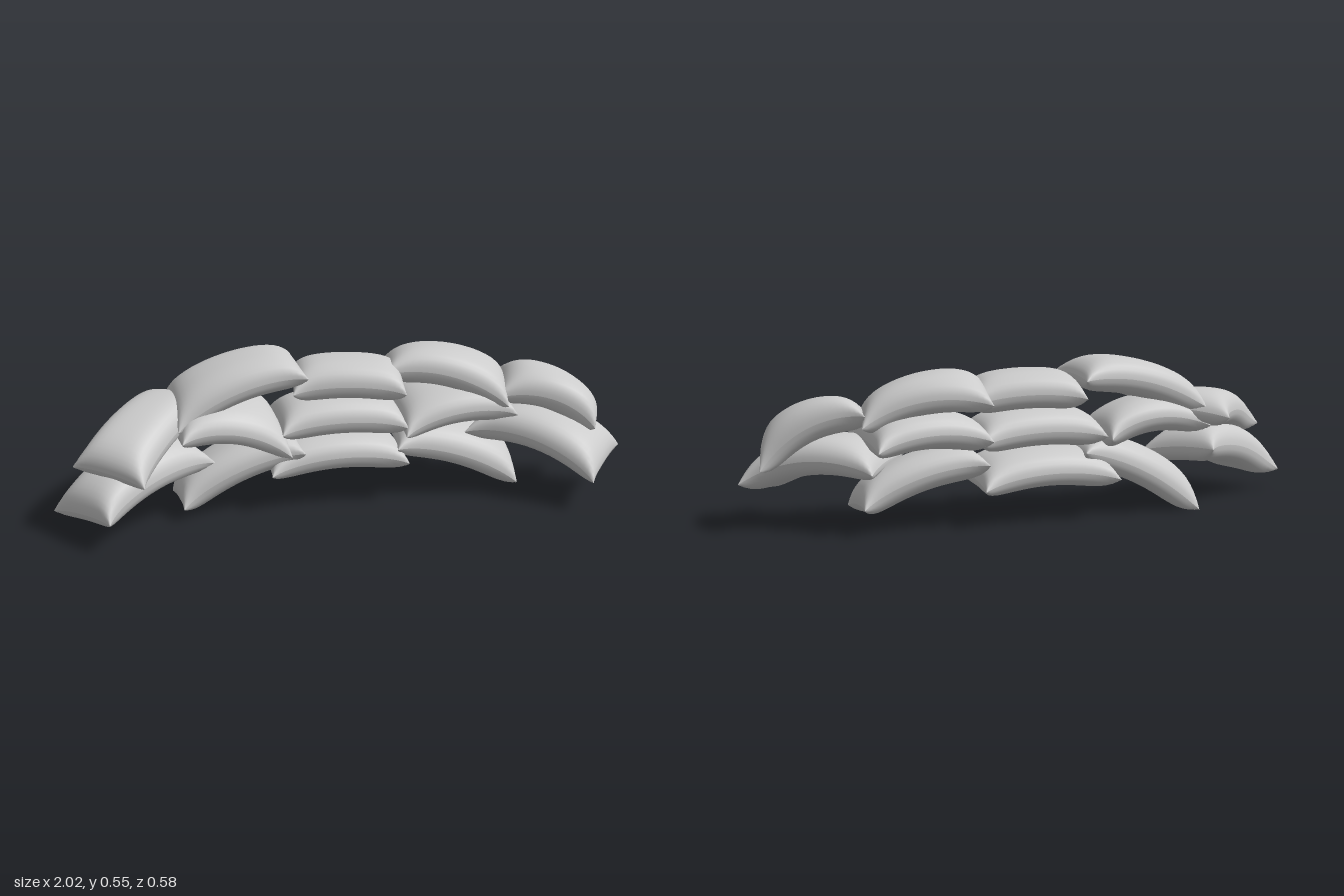
import * as THREE from 'three';

const NU = 24, NV = 18;
const UP = new THREE.Vector3(0, 1, 0);

// One stuffed sack: a = end at -x, b = end at +x, w = half width at the corners,
// ra / rb = rise of the front corner at each end, arch = lift of the middle.
function bag(name, a, b, w, ra, rb, arch, thick = 0.064) {
  const A = new THREE.Vector3(...a), B = new THREE.Vector3(...b);
  const mid = A.clone().add(B).multiplyScalar(0.5);
  const half = B.clone().sub(A).multiplyScalar(0.5);
  const side = new THREE.Vector3().crossVectors(half, UP).normalize();
  const up = new THREE.Vector3().crossVectors(side, half).normalize();
  const positions = [], index = [];

  // Upper and lower skins meet in a pinched seam with pulled-out corners
  for (const s of [1, -1]) {
    const start = positions.length / 3;
    for (let i = 0; i <= NU; i++) {
      for (let j = 0; j <= NV; j++) {
        const u = Math.sin((i / NU - 0.5) * Math.PI);
        const v = Math.sin((j / NV - 0.5) * Math.PI);
        const lu = u * (1 - 0.03 * (1 - v ** 4));
        const lv = v * w * (1 - 0.14 * (1 - u ** 6));
        const fill = Math.pow(Math.max(0, 1 - u ** 6), 0.5) * Math.pow(Math.max(0, 1 - v ** 4), 0.5);
        const lift = arch * (1 - u * u) + 0.012 * (1 - v * v) + s * thick * fill;
        const p = mid.clone()
          .addScaledVector(half, lu)
          .addScaledVector(side, lv)
          .addScaledVector(up, lift);
        p.y += v * THREE.MathUtils.lerp(ra, rb, (u + 1) / 2);
        positions.push(p.x, p.y, p.z);
      }
    }
    for (let i = 0; i < NU; i++) {
      for (let j = 0; j < NV; j++) {
        const p = start + i * (NV + 1) + j, q = p + NV + 1;
        if (s > 0) index.push(p, p + 1, q, q, p + 1, q + 1);
        else index.push(p, q, p + 1, q, q + 1, p + 1);
      }
    }
  }
  const geometry = new THREE.BufferGeometry();
  geometry.setAttribute('position', new THREE.Float32BufferAttribute(positions, 3));
  geometry.setIndex(index);
  geometry.computeVertexNormals();
  const mesh = new THREE.Mesh(geometry, new THREE.MeshStandardMaterial({ color: 0xcccccc }));
  mesh.name = name;
  return mesh;
}

export function createModel() {
  const wall = new THREE.Group();
  wall.name = 'sandbagWall';
  wall.add(
    // Bottom course
    bag('bottomBagRight', [-0.57, 0.022, -0.07], [-0.14, 0.22, -0.08], 0.14, 0.02, -0.01, 0.035),
    bag('bottomBagCentre', [-0.26, 0.137, -0.09], [0.23, 0.137, -0.095], 0.16, 0, 0.01, 0.037),
    bag('bottomBagLeft', [0.2, 0.205, -0.1], [0.63, 0.067, -0.075], 0.148, -0.01, -0.02, 0.035),
    // Outer bags, swung forward
    bag('outerBagRight', [-0.925, 0.085, 0.168], [-0.53, 0.2, -0.11], 0.147, 0.015, -0.015, 0.045, 0.07),
    bag('outerBagLeft', [0.53, 0.215, -0.12], [0.92, 0.13, 0.16], 0.147, 0.01, -0.02, 0.06),
    // Middle course
    bag('middleBagRight', [-0.59, 0.3, -0.05], [-0.205, 0.243, -0.09], 0.172, 0, -0.035, 0.05),
    bag('middleBagCentre', [-0.22, 0.285, -0.08], [0.225, 0.28, -0.08], 0.148, 0, 0, 0.027),
    bag('middleBagLeft', [0.205, 0.275, -0.08], [0.61, 0.292, -0.1], 0.17, -0.02, 0.01, 0.038),
    // Top course
    bag('topBagFarRight', [-0.83, 0.225, 0.175], [-0.535, 0.345, -0.2], 0.142, -0.015, 0.01, 0.038),
    bag('topBagRight', [-0.585, 0.345, -0.075], [-0.13, 0.48, -0.095], 0.145, -0.02, 0, 0.042),
    bag('topBagCentre', [-0.16, 0.42, -0.1], [0.23, 0.41, -0.05], 0.138, 0, 0, 0.022),
    bag('topBagLeft', [0.18, 0.437, -0.145], [0.61, 0.345, -0.06], 0.135, 0.015, -0.01, 0.05),
    bag('topBagFarLeft', [0.585, 0.375, -0.075], [0.915, 0.235, 0.04], 0.117, -0.02, 0.025, 0.053),
  );
  return wall;
}
